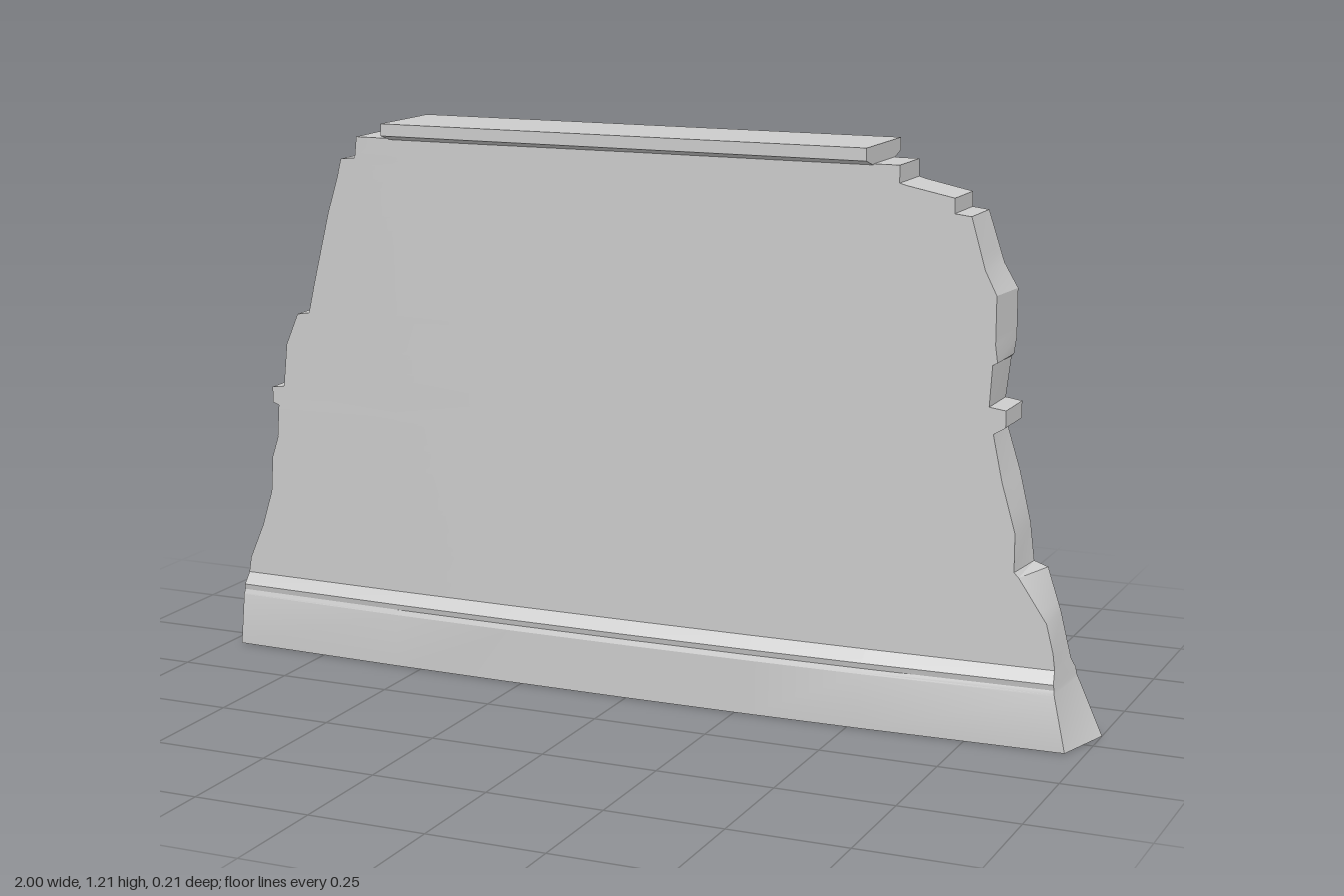
import * as THREE from 'three';
import { toCreasedNormals } from 'three/addons/utils/BufferGeometryUtils.js';

// Broken edges, from the ground up: [y, x on the front face, x on the back face]
const LEFT = [
  [0, -0.97, -1], [0.17, -0.955, -0.96], [0.2, -0.95, -0.955], [0.28, -0.915, -0.935], [0.36, -0.89, -0.915],
  [0.44, -0.885, -0.905], [0.485, -0.87, -0.895], [0.489, -0.87, -0.87], [0.56, -0.865, -0.87],
  [0.565, -0.88, -0.885], [0.6, -0.88, -0.885], [0.604, -0.85, -0.85], [0.7, -0.84, -0.85],
  [0.77, -0.81, -0.815], [0.775, -0.78, -0.78], [0.84, -0.765, -0.78], [1, -0.725, -0.745],
  [1.08, -0.7, -0.72], [1.12, -0.69, -0.695], [1.124, -0.655, -0.655], [1.17, -0.65, -0.655],
];
const RIGHT = [
  [0, 0.96, 1], [0.12, 0.935, 0.945], [0.2, 0.925, 0.925], [0.26, 0.91, 0.91], [0.35, 0.85, 0.88],
  [0.36, 0.84, 0.85], [0.44, 0.84, 0.84], [0.545, 0.81, 0.815], [0.64, 0.79, 0.785], [0.655, 0.815, 0.815],
  [0.69, 0.815, 0.815], [0.695, 0.78, 0.78], [0.78, 0.785, 0.79], [0.785, 0.795, 0.795], [0.82, 0.79, 0.8],
  [0.92, 0.79, 0.8], [0.97, 0.765, 0.77], [1.075, 0.735, 0.735], [1.079, 0.7, 0.7], [1.11, 0.7, 0.7],
  [1.13, 0.6, 0.6], [1.134, 0.585, 0.585], [1.17, 0.585, 0.585],
];
// Half thickness by height: plinth, groove, sloped ledge, plain wall
const THICKNESS = [[0, 0.092], [0.117, 0.092], [0.128, 0.087], [0.14, 0.09], [0.165, 0.067], [1.17, 0.067]];
const COLUMNS = [-0.56, -0.28, 0, 0.28, 0.53];

function sample(table, y, column) {
  let i = 1;
  while (i < table.length - 1 && table[i][0] < y) i++;
  const a = table[i - 1], b = table[i];
  return THREE.MathUtils.lerp(a[column], b[column], (y - a[0]) / (b[0] - a[0]));
}

// Wall: closed horizontal loops stacked at every height where an outline bends
function wallGeometry() {
  const heights = [...new Set([...LEFT, ...RIGHT, ...THICKNESS].map((p) => p[0]))].sort((a, b) => a - b);
  const n = COLUMNS.length + 2;
  const ring = 2 * n;
  const positions = [], index = [];

  for (const y of heights) {
    const half = sample(THICKNESS, y, 1);
    for (const side of [1, 2]) {
      const xs = [sample(LEFT, y, side), ...COLUMNS, sample(RIGHT, y, side)];
      if (side === 2) xs.reverse();
      const sign = side === 1 ? 1 : -1;
      for (const x of xs) positions.push(x, y, sign * half * (1 - 0.25 * x * x)); // thinner toward the ends
    }
  }

  for (let r = 0; r < heights.length - 1; r++) {
    for (let i = 0; i < ring; i++) {
      const a = r * ring + i, b = r * ring + (i + 1) % ring;
      index.push(a, b, b + ring, a, b + ring, a + ring);
    }
  }

  // Underside and top
  const top = (heights.length - 1) * ring;
  for (let i = 0; i < n - 1; i++) {
    const a = i, b = i + 1, c = ring - 2 - i, d = ring - 1 - i;
    index.push(a, c, b, a, d, c);
    index.push(top + a, top + b, top + c, top + a, top + c, top + d);
  }

  const geometry = new THREE.BufferGeometry();
  geometry.setAttribute('position', new THREE.Float32BufferAttribute(positions, 3));
  geometry.setIndex(index);
  return toCreasedNormals(geometry, 0.35);
}

// Coping: flat slab with a chamfered underside, running along x
function copingGeometry() {
  const section = new THREE.Shape([
    [-0.065, 1.168], [0.065, 1.168], [0.105, 1.18], [0.105, 1.206], [-0.105, 1.206], [-0.105, 1.18],
  ].map(([z, y]) => new THREE.Vector2(z, y)));
  const geometry = new THREE.ExtrudeGeometry(section, { depth: 1.095, bevelEnabled: false });
  geometry.rotateY(Math.PI / 2);
  geometry.translate(-0.565, 0, 0);
  return geometry;
}

export function createModel() {
  const group = new THREE.Group();
  group.name = 'ruinedWall';
  const material = new THREE.MeshStandardMaterial({ color: 0xcccccc });

  const wall = new THREE.Mesh(wallGeometry(), material);
  wall.name = 'brokenWall';
  const coping = new THREE.Mesh(copingGeometry(), material);
  coping.name = 'coping';

  group.add(wall, coping);
  return group;
}
